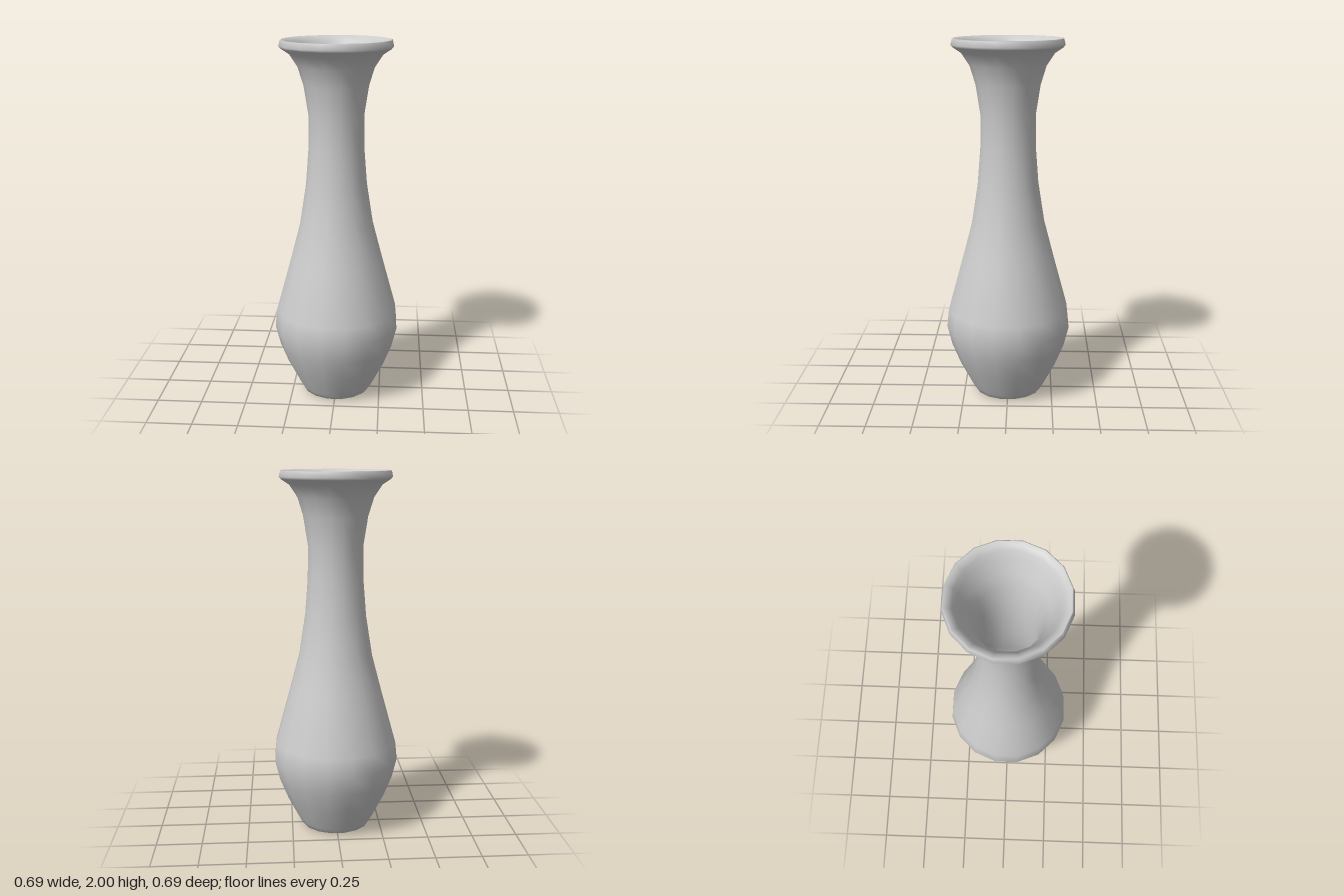
import * as THREE from 'three';

const SIDES = 16;

// Radius/height pairs, outside from the foot up to the lip
const outer = [
  [0, 0], [0.17, 0], [0.19, 0.01], [0.208, 0.04], [0.275, 0.17], [0.323, 0.29],
  [0.35, 0.4], [0.34, 0.5], [0.257, 0.8], [0.204, 1.0], [0.169, 1.22],
  [0.153, 1.42], [0.151, 1.6], [0.176, 1.76], [0.207, 1.86], [0.25, 1.925],
  [0.295, 1.955], [0.306, 1.967], [0.298, 1.998],
];

// Inside from the lip down through the throat to the floor
const inner = [
  [0.292, 2.0], [0.275, 1.99], [0.256, 1.972], [0.238, 1.93], [0.2, 1.85], [0.172, 1.76],
  [0.149, 1.6], [0.15, 1.42], [0.164, 1.22], [0.198, 1.0], [0.25, 0.8],
  [0.332, 0.5], [0.341, 0.4], [0.314, 0.29], [0.266, 0.17], [0.2, 0.045],
  [0.17, 0.02], [0, 0.02],
];

function turned(name, profile, material) {
  const points = profile.map(([r, y]) => new THREE.Vector2(r, y));
  // Half a step of rotation puts flats on the front, back and sides
  const geometry = new THREE.LatheGeometry(points, SIDES, Math.PI / SIDES);
  const mesh = new THREE.Mesh(geometry, material);
  mesh.name = name;
  return mesh;
}

export function createModel() {
  const group = new THREE.Group();
  group.name = 'vase';
  const material = new THREE.MeshStandardMaterial({ color: 0xcccccc, side: THREE.DoubleSide });
  // One continuous skin, so the lip shades smoothly into the throat
  group.add(turned('vaseBody', [...outer, ...inner], material));
  return group;
}
